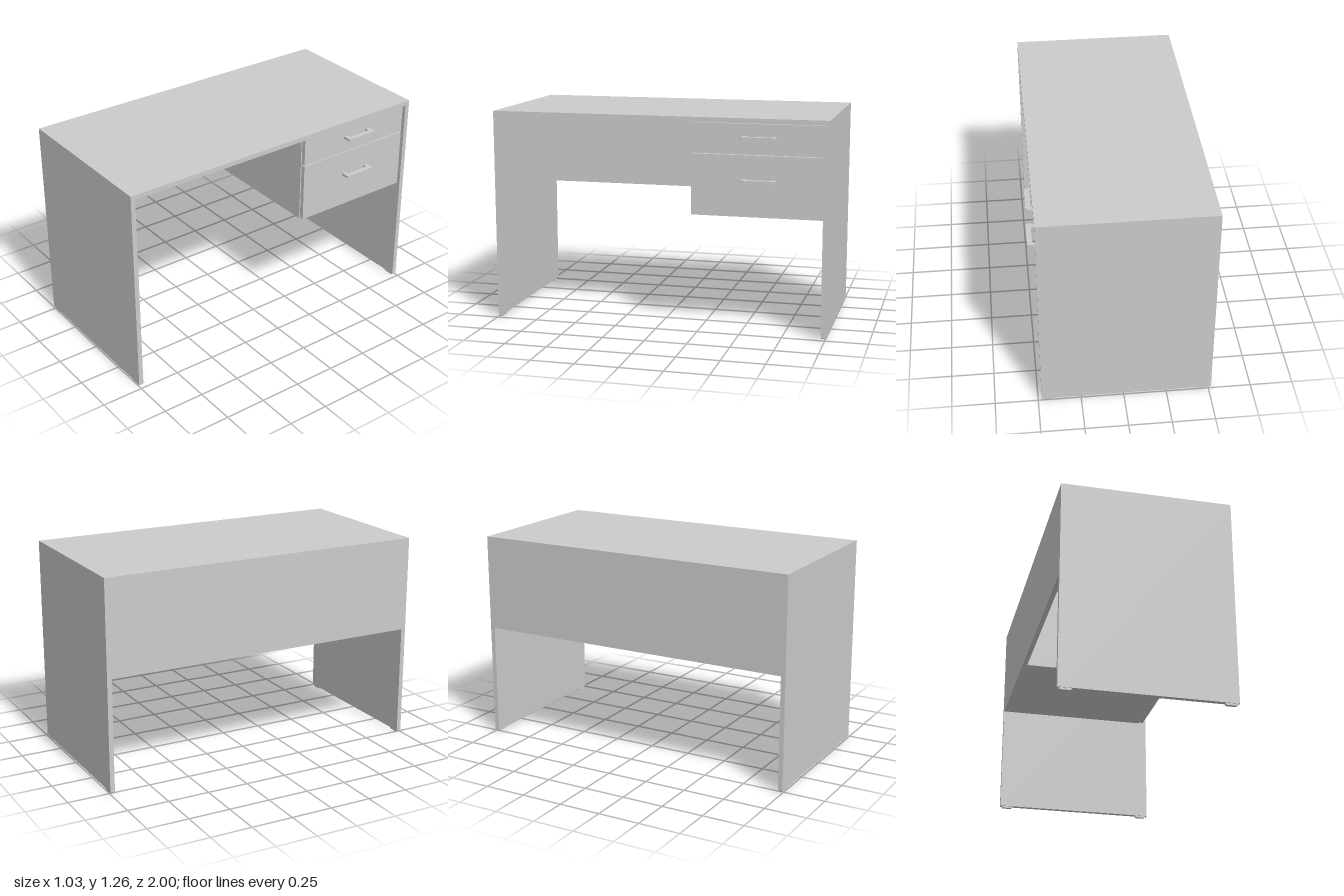
import * as THREE from 'three';

const material = new THREE.MeshStandardMaterial({ color: 0xcccccc });

// Box given by its minimum and maximum corners
function box(name, [x0, y0, z0], [x1, y1, z1]) {
  const geometry = new THREE.BoxGeometry(x1 - x0, y1 - y0, z1 - z0);
  const mesh = new THREE.Mesh(geometry, material);
  mesh.name = name;
  mesh.position.set((x0 + x1) / 2, (y0 + y1) / 2, (z0 + z1) / 2);
  return mesh;
}

// Foot pad that narrows towards the floor
function foot(x, z) {
  const shape = new THREE.Shape([
    new THREE.Vector2(-0.028, 0), new THREE.Vector2(0.028, 0),
    new THREE.Vector2(0.034, 0.006), new THREE.Vector2(0.034, 0.014), new THREE.Vector2(-0.034, 0.014), new THREE.Vector2(-0.034, 0.006),
  ]);
  const geometry = new THREE.ExtrudeGeometry(shape, { depth: 0.02, bevelEnabled: false });
  const mesh = new THREE.Mesh(geometry, material);
  mesh.name = 'foot';
  mesh.position.set(x, 0, z - 0.01);
  return mesh;
}

// U-shaped pull: one bar with two short posts, chamfered at the outer corners
function handle(y) {
  const shape = new THREE.Shape();
  [[0.458, -0.1], [0.509, -0.1], [0.515, -0.094], [0.515, 0.094], [0.509, 0.1], [0.458, 0.1],
    [0.458, 0.073], [0.486, 0.073], [0.486, -0.073], [0.458, -0.073]]
    .forEach(([x, z], i) => (i ? shape.lineTo(x, z) : shape.moveTo(x, z)));
  const geometry = new THREE.ExtrudeGeometry(shape, { depth: 0.014, bevelEnabled: false });
  geometry.rotateX(-Math.PI / 2);
  const mesh = new THREE.Mesh(geometry, material);
  mesh.name = 'handle';
  mesh.position.set(0, y - 0.007, -0.6);
  return mesh;
}

export function createModel() {
  const desk = new THREE.Group();
  desk.name = 'desk';
  const back = -0.515, front = 0.48, under = 1.232;

  desk.add(box('desktop', [back, under, -1], [front, 1.26, 1]));

  // Side panels with feet
  for (const s of [-1, 1]) {
    const side = new THREE.Group();
    side.name = s > 0 ? 'leftSide' : 'rightSide';
    const zs = [s * 0.972, s].sort((a, b) => a - b);
    side.add(box('sidePanel', [back, 0.012, zs[0]], [front, under, zs[1]]));
    for (const x of [-0.471, 0.437]) side.add(foot(x, s * 0.986));
    desk.add(side);
  }

  // Modesty panel closing the upper back
  desk.add(box('modestyPanel', [back, 0.685, -0.972], [back + 0.028, under, 0.972]));

  // Drawer unit
  const drawers = new THREE.Group();
  drawers.name = 'drawerUnit';
  drawers.add(box('carcass', [back + 0.028, 0.685, -0.972], [0.43, under, -0.2]));
  for (const [y0, y1, handleY] of [[1.053, 1.227, 1.15], [0.69, 1.047, 0.903]]) {
    const drawer = new THREE.Group();
    drawer.name = 'drawer';
    drawer.add(box('drawerFront', [0.434, y0, -0.969], [0.46, y1, -0.203]), handle(handleY));
    drawers.add(drawer);
  }
  desk.add(drawers);
  return desk;
}
